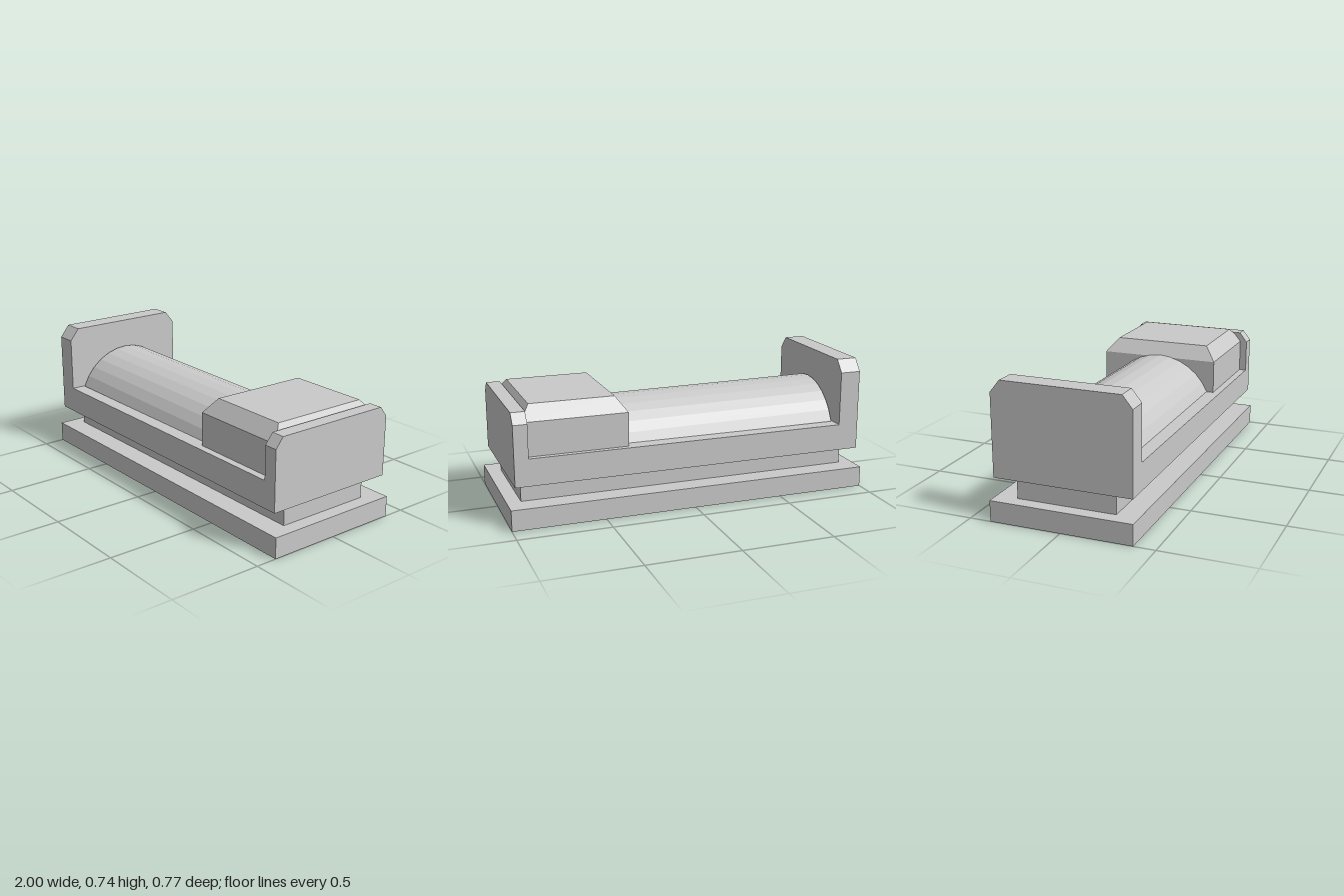
import * as THREE from 'three';

export function createModel() {
  const model = new THREE.Group();
  const grey = new THREE.MeshStandardMaterial({ color: 0xcacaca, flatShading: true });
  grey.name = 'stone grey';

  const add = (name, geometry) => {
    const mesh = new THREE.Mesh(geometry, grey);
    mesh.name = name;
    model.add(mesh);
    return mesh;
  };

  // Box given by its minimum and maximum corners
  const block = (name, x0, x1, y0, y1, z0, z1) =>
    add(name, new THREE.BoxGeometry(x1 - x0, y1 - y0, z1 - z0)
      .translate((x0 + x1) / 2, (y0 + y1) / 2, (z0 + z1) / 2));

  // Upright end board with clipped top corners
  const endBoard = (name, x0, x1, shoulder, top, topHalf) => {
    const half = 0.373, bottom = 0.227;
    const shape = new THREE.Shape([
      [-half, bottom], [half, bottom], [half, shoulder],
      [topHalf, top], [-topHalf, top], [-half, shoulder],
    ].map(([z, y]) => new THREE.Vector2(z, y)));
    const geometry = new THREE.ExtrudeGeometry(shape, { depth: x1 - x0, bevelEnabled: false });
    add(name, geometry.rotateY(Math.PI / 2).translate(x0, 0, 0));
  };

  // Stepped base and bed
  block('base', -1, 1, 0, 0.113, -0.385, 0.385);
  block('plinth', -0.925, 0.925, 0.113, 0.227, -0.268, 0.268);
  block('bed', -0.858, 0.897, 0.227, 0.373, -0.373, 0.373);
  endBoard('headBoard', -0.972, -0.858, 0.669, 0.735, 0.32);
  endBoard('footBoard', 0.897, 0.972, 0.554, 0.609, 0.33);

  // Faceted upper part of a roll, slightly tilted and resting in the bed
  const step = Math.PI / 16;
  const roll = add('roll', new THREE.CylinderGeometry(
    0.32, 0.32, 1.23, 14, 1, false, Math.PI - 7 * step, 14 * step)
    .rotateX(Math.PI / 2).rotateY(Math.PI / 2));
  roll.position.set(-0.235, 0.25, 0);
  roll.rotation.z = -0.009;

  // Block at the foot end with a sloping rim
  block('footBlock', 0.36, 0.925, 0.37, 0.555, -0.343, 0.333);
  const rim = new THREE.BoxGeometry(0.565, 0.078, 0.676);
  const p = rim.attributes.position;
  for (let i = 0; i < p.count; i++) {
    if (p.getY(i) > 0) {
      p.setX(i, p.getX(i) - Math.sign(p.getX(i)) * 0.055);
      p.setZ(i, p.getZ(i) - Math.sign(p.getZ(i)) * 0.064);
    }
  }
  rim.computeVertexNormals();
  add('footBlockTop', rim.translate(0.6425, 0.594, -0.005));

  return model;
}
